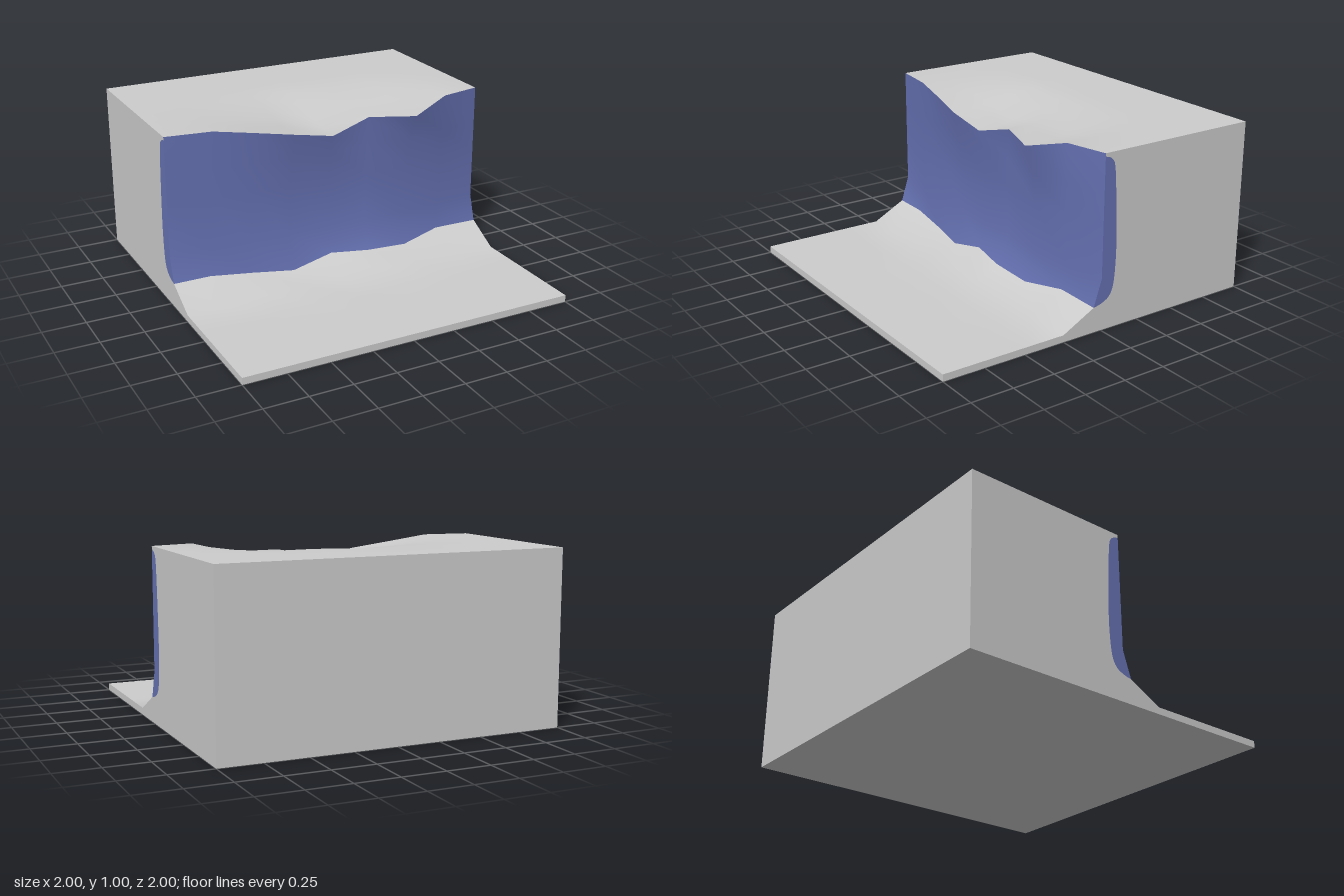
import * as THREE from 'three';

// Surface through rows of points: rows run from back/top to front/bottom, points along +x
function gridGeometry(rows) {
  const cols = rows[0].length;
  const index = [];
  for (let r = 0; r < rows.length - 1; r++) {
    for (let c = 0; c < cols - 1; c++) {
      const a = r * cols + c, b = a + cols;
      index.push(a, b, b + 1, a, b + 1, a + 1);
    }
  }
  const geometry = new THREE.BufferGeometry();
  geometry.setAttribute('position', new THREE.Float32BufferAttribute(rows.flat(2), 3));
  geometry.setIndex(index);
  geometry.computeVertexNormals();
  return geometry;
}

export function createModel() {
  const group = new THREE.Group();
  const ground = new THREE.MeshStandardMaterial({ color: 0xcccccc });
  ground.name = 'pale grey ground';
  const rock = new THREE.MeshStandardMaterial({ color: 0x6672b3 });
  rock.name = 'blue rock';

  const add = (name, geometry, material) => {
    const mesh = new THREE.Mesh(geometry, material);
    mesh.name = name;
    group.add(mesh);
    return mesh;
  };

  // Uneven upper and lower edges of the cliff
  const rim = [
    [-1, 1, 0], [-0.73, 1, 0.035], [-0.5, 0.965, 0.067], [-0.27, 0.93, 0.105], [-0.02, 0.88, 0.095],
    [0.23, 0.945, 0.06], [0.5, 0.935, 0.145], [0.75, 1, 0.055], [1, 1, 0],
  ];
  const base = [
    [-1, 0.145, 0.05], [-0.78, 0.145, 0.05], [-0.53, 0.12, 0.07], [-0.28, 0.095, 0.1], [-0.03, 0.15, 0.09],
    [0.2, 0.135, 0.125], [0.46, 0.115, 0.11], [0.72, 0.148, 0.05], [1, 0.145, 0.05],
  ];

  // Cliff face, with rows of bulges between the two edges
  const bulges = [
    [0.78, [0, 0.03, 0.05, 0.08, 0.07, 0.06, 0.09, 0.05, 0]],
    [0.6, [0, 0.02, 0.04, 0.05, 0.05, 0.06, 0.07, 0.04, 0]],
    [0.3, [0, 0.02, 0.04, 0.04, 0.04, 0.05, 0.05, 0.03, 0]],
  ];
  const cliffRows = bulges.map(([y, depths]) =>
    depths.map((z, i) => [THREE.MathUtils.lerp(base[i][0], rim[i][0], y), y, z]));
  add('cliffFace', gridGeometry([rim, ...cliffRows, base]), rock);

  // Upper ground, sagging toward the rim
  const topRows = [-1, -0.6, -0.45, -0.3, -0.15, -0.05].map((z) => {
    const sag = THREE.MathUtils.smoothstep(z, -0.6, 0.05);
    return rim.map(([x, y]) => [x, 1 - (1 - y) * sag, z]);
  });
  add('upperGround', gridGeometry([...topRows, rim]), ground);

  // Sloping foot and lower ground
  const footHeights = [0.04, 0.045, 0.055, 0.06, 0.05, 0.06, 0.055, 0.05, 0.04];
  const foot = base.map(([x], i) => [x, footHeights[i], 0.25]);
  const floorRows = [0.48, 0.75, 1].map((z) => base.map(([x]) => [x, 0.04, z]));
  add('lowerGround', gridGeometry([base, foot, ...floorRows]), ground);

  // Flat front lip, back wall and underside
  add('frontLip', gridGeometry([[[-1, 0.04, 1], [1, 0.04, 1]], [[-1, 0, 1], [1, 0, 1]]]), ground);
  add('backWall', gridGeometry([[[1, 1, -1], [-1, 1, -1]], [[1, 0, -1], [-1, 0, -1]]]), ground);
  add('underside', gridGeometry([[[-1, 0, 1], [1, 0, 1]], [[-1, 0, -1], [1, 0, -1]]]), ground);

  // End walls, each split into ground and a curved band of rock, as [z, y] outlines
  const band = new THREE.SplineCurve([
    [0.05, 0.145], [0, 0.157], [-0.05, 0.185], [-0.08, 0.25], [-0.092, 0.4], [-0.09, 0.55],
    [-0.08, 0.75], [-0.066, 0.92], [-0.04, 0.967], [0, 0.982],
  ].map(([z, y]) => new THREE.Vector2(z, y))).getPoints(36).map((p) => [p.x, p.y]);
  const earthOutline = [[-1, 0], [1, 0], [1, 0.04], [0.25, 0.04], ...band, [0, 1], [-1, 1]];
  const rockOutline = [...band, [0, 0.6], [0, 0.3]];

  for (const [side, label] of [[1, 'left'], [-1, 'right']]) {
    const endFace = (outline) => {
      const shape = new THREE.Shape(outline.map(([z, y]) => new THREE.Vector2(-side * z, y)));
      return new THREE.ShapeGeometry(shape).rotateY(side * Math.PI / 2).translate(side, 0, 0);
    };
    add(label + 'EndWall', endFace(earthOutline), ground);
    add(label + 'RockBand', endFace(rockOutline), rock);
  }
  return group;
}
